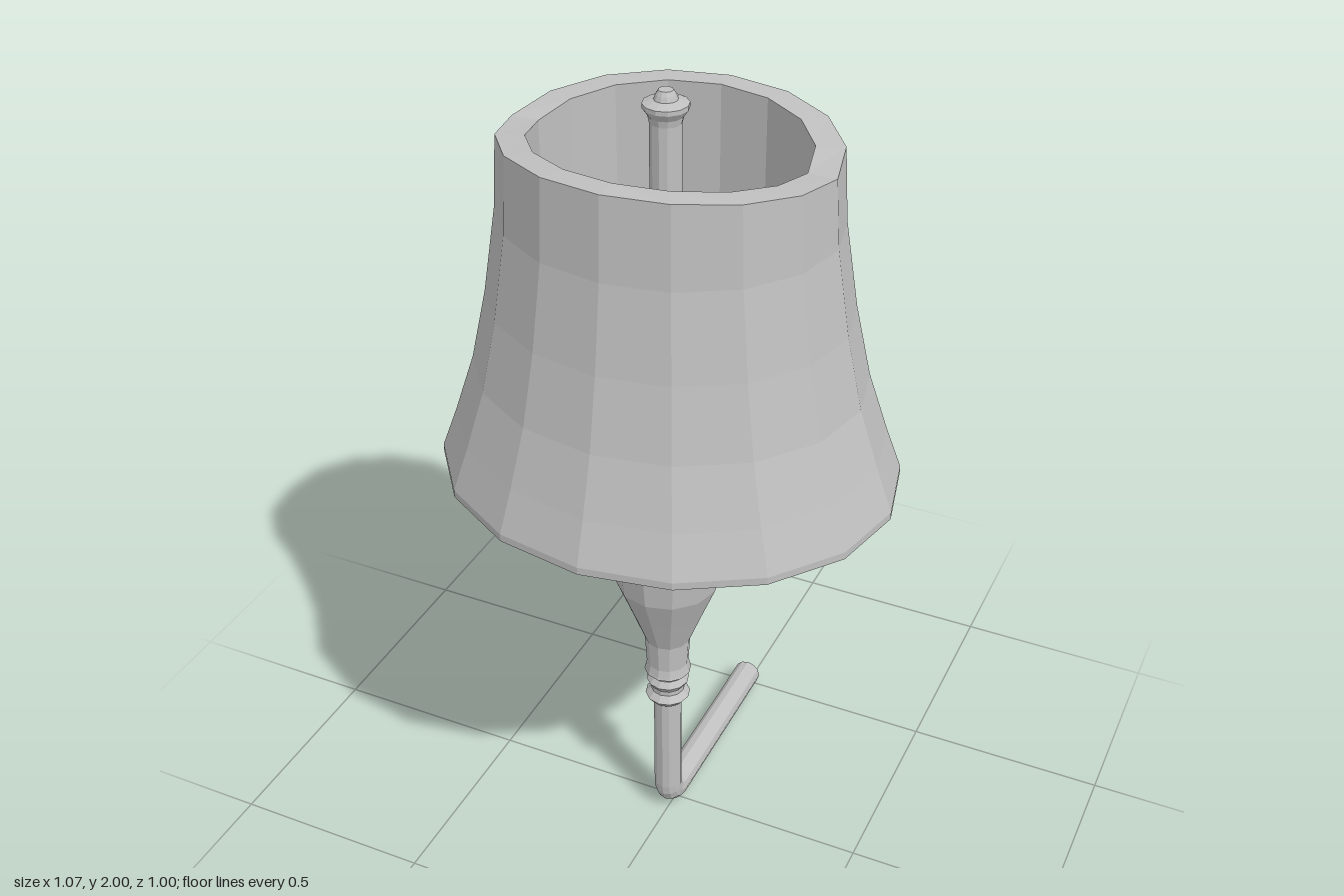
import * as THREE from 'three';

export function createModel() {
  const model = new THREE.Group();
  const grey = new THREE.MeshStandardMaterial({ color: 0xc0c0c0, flatShading: true });
  grey.name = 'plain grey';
  const POLE_X = -0.005, POLE_Z = 0.035, R = 0.035, SIDES = 12;

  function add(name, geometry, x = 0, y = 0, z = 0) {
    const mesh = new THREE.Mesh(geometry, grey);
    mesh.name = name;
    mesh.position.set(x, y, z);
    model.add(mesh);
    return mesh;
  }
  const turned = (profile, sides) =>
    new THREE.LatheGeometry(profile.map(([r, y]) => new THREE.Vector2(r, y)), sides);

  // Oval bell shade: closed underneath, hollow from above
  const shade = turned([
    [0, 1.09], [0.535, 1.09], [0.535, 1.108], [0.497, 1.21], [0.45, 1.35],
    [0.412, 1.52], [0.38, 1.72], [0.369, 1.875], [0.305, 1.875], [0.305, 1.12], [0, 1.12],
  ], 16);
  // Flatten front to back and lift the rim towards front and back
  const p = shade.attributes.position;
  for (let i = 0; i < p.count; i++) {
    const x = p.getX(i), y = p.getY(i), z = p.getZ(i);
    if (y > 1.8) p.setY(i, y + 0.033 * Math.abs(z) / Math.hypot(x, z));
    p.setZ(i, z * 0.87);
  }
  shade.computeVertexNormals();
  add('lampShade', shade, 0, 0, 0.03);

  // Lower pole with its turned rings
  add('lowerPole', turned([
    [R, 0.09], [R, 0.375], [0.045, 0.38], [0.056, 0.395], [0.042, 0.412], [0.042, 0.425],
    [0.053, 0.442], [0.042, 0.458], [0.044, 0.465], [0.058, 0.474], [0.056, 0.482],
  ], SIDES), POLE_X, 0, POLE_Z);

  // Vase-shaped body
  add('vaseBody', turned([
    [0.056, 0.48], [0.052, 0.5], [0.056, 0.575], [0.09, 0.665], [0.125, 0.755],
    [0.135, 0.84], [0.108, 0.895], [0.05, 0.94], [0.04, 0.945],
  ], SIDES), POLE_X, 0, POLE_Z);

  // Collar between body and shade
  add('collar', turned([
    [0.036, 0.94], [0.06, 0.95], [0.076, 0.961], [0.045, 0.975], [0.058, 0.981],
    [0.045, 0.99], [0.036, 1.0], [0.043, 1.008], [0.043, 1.02], [R, 1.026],
  ], SIDES), POLE_X, 0, POLE_Z);

  // Upper pole through the shade, with finial
  add('upperPole', turned([[R, 1.02], [R, 1.93]], SIDES), POLE_X, 0, POLE_Z);
  add('finial', turned([
    [R, 1.93], [0.038, 1.945], [0.05, 1.962], [0.05, 1.972], [0.026, 1.98],
    [0.022, 1.99], [0.016, 2.0], [0, 2.0],
  ], SIDES), POLE_X, 0, POLE_Z);

  // Elbow and rear arm
  const bend = new THREE.QuadraticBezierCurve3(
    new THREE.Vector3(0, 0.09, 0), new THREE.Vector3(0, 0.037, 0), new THREE.Vector3(0, 0.037, -0.06));
  add('elbow', new THREE.TubeGeometry(bend, 5, R, SIDES), POLE_X, 0, POLE_Z);
  const armLength = 0.5 + POLE_Z - 0.06;
  add('rearArm', new THREE.CylinderGeometry(R, R, armLength, SIDES).rotateX(Math.PI / 2),
    POLE_X, 0.037, -0.5 + armLength / 2);

  return model;
}
